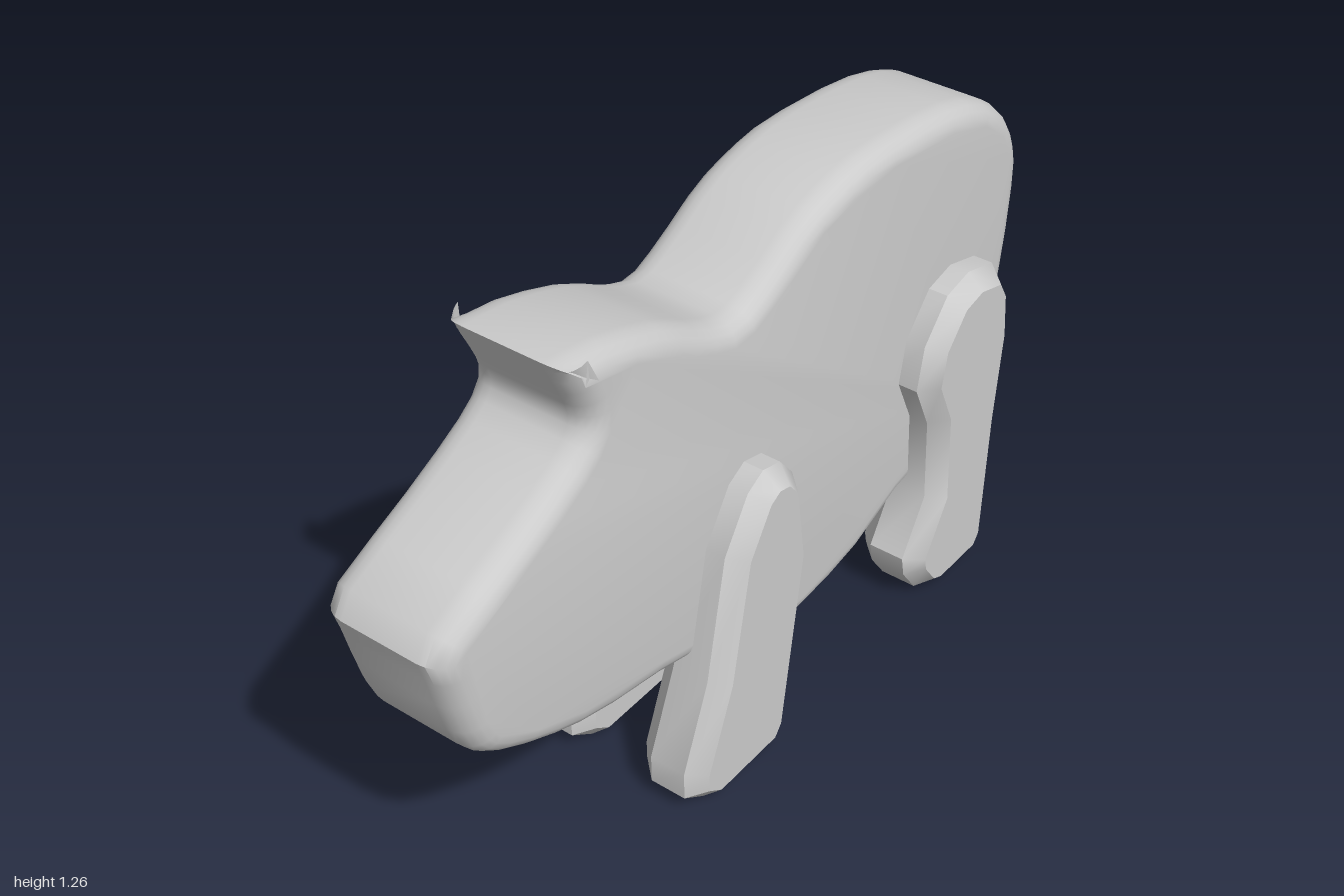
import * as THREE from 'three';
import { toCreasedNormals } from 'three/addons/utils/BufferGeometryUtils.js';

const material = new THREE.MeshStandardMaterial({ color: 0xcccccc });

const points = (list) => list.map(([z, y]) => new THREE.Vector2(z, y));

// Side outline (z, y) extruded across x, with the bevel cut inside the outline
function slab(name, shape, width, bevelSize, bevelThickness, bevelSegments, crease) {
  const depth = width - 2 * bevelThickness;
  const geometry = new THREE.ExtrudeGeometry(shape, {
    depth, bevelSize, bevelThickness, bevelSegments, bevelOffset: -bevelSize, curveSegments: 2,
  });
  geometry.translate(0, 0, -depth / 2);
  geometry.rotateY(-Math.PI / 2);
  const mesh = new THREE.Mesh(toCreasedNormals(geometry, crease), material);
  mesh.name = name;
  return mesh;
}

export function createModel() {
  const model = new THREE.Group();
  model.name = 'pig';

  // Body, head and ear: one rounded slab, starting and ending at the ear tip
  const earTip = [0.648, 1.263];
  const bodyShape = new THREE.Shape();
  bodyShape.moveTo(...earTip);
  bodyShape.splineThru(points([
    // ear, neck and back
    [0.52, 1.247], [0.357, 1.193], [0.25, 1.134], [0.15, 1.095], [0.06, 1.123],
    [-0.07, 1.193], [-0.18, 1.225], [-0.314, 1.24], [-0.555, 1.22], [-0.716, 1.177],
    // rump
    [-0.823, 1.107], [-0.877, 1.02], [-0.893, 0.925], [-0.87, 0.71], [-0.823, 0.523], [-0.74, 0.39],
    // belly
    [-0.61, 0.31], [-0.45, 0.28], [-0.287, 0.217], [-0.07, 0.19], [0.09, 0.206], [0.22, 0.28],
    // chin and snout
    [0.33, 0.345], [0.6, 0.4], [0.76, 0.458], [0.893, 0.533], [0.946, 0.603],
    [0.985, 0.75], [0.997, 0.865], [0.81, 0.957], [0.65, 1.038],
    // brow and underside of the ear
    [0.59, 1.09], [0.592, 1.14], [0.625, 1.21], earTip,
  ]));
  model.add(slab('body', bodyShape, 0.3, 0.05, 0.06, 5, 0.8));

  // Legs: chamfered slabs, one pair in front and one behind
  const legs = {
    frontLeg: [
      [0.405, 0.12], [0.405, 0.05], [0.34, 0.003], [0.12, 0.003], [0.083, 0.05], [0.013, 0.495],
      [0.04, 0.69], [0.083, 0.743], [0.14, 0.757], [0.19, 0.73], [0.265, 0.614], [0.324, 0.32],
    ],
    hindLeg: [
      [-0.41, 0.147], [-0.42, 0.094], [-0.47, 0.024], [-0.517, 0.003], [-0.684, 0.003], [-0.72, 0.05],
      [-0.737, 0.39], [-0.76, 0.614], [-0.748, 0.737], [-0.71, 0.8], [-0.61, 0.828], [-0.528, 0.81],
      [-0.448, 0.72], [-0.426, 0.614], [-0.48, 0.496], [-0.49, 0.28],
    ],
  };
  for (const [name, outline] of Object.entries(legs)) {
    for (const side of [-1, 1]) {
      const label = name + (side > 0 ? 'Left' : 'Right');
      const leg = slab(label, new THREE.Shape(points(outline)), 0.167, 0.035, 0.04, 1, 0.6);
      leg.position.x = side * 0.153;
      model.add(leg);
    }
  }

  // Curly tail: a flat ribbon folded into straight strips
  const tail = new THREE.Group();
  tail.name = 'tail';
  const path = [
    [0, 0.93, -0.88], [-0.05, 0.83, -0.985], [-0.02, 0.77, -0.9],
    [-0.01, 0.85, -0.93], [0.0, 0.76, -0.99], [-0.02, 0.695, -0.91],
  ].map((p) => new THREE.Vector3(...p));
  for (let i = 0; i < path.length - 1; i++) {
    const length = path[i].distanceTo(path[i + 1]);
    const strip = new THREE.Mesh(new THREE.BoxGeometry(0.035, 0.01, length), material);
    strip.name = 'tailStrip';
    strip.position.lerpVectors(path[i], path[i + 1], 0.5);
    strip.lookAt(path[i + 1]);
    tail.add(strip);
  }
  model.add(tail);

  return model;
}
